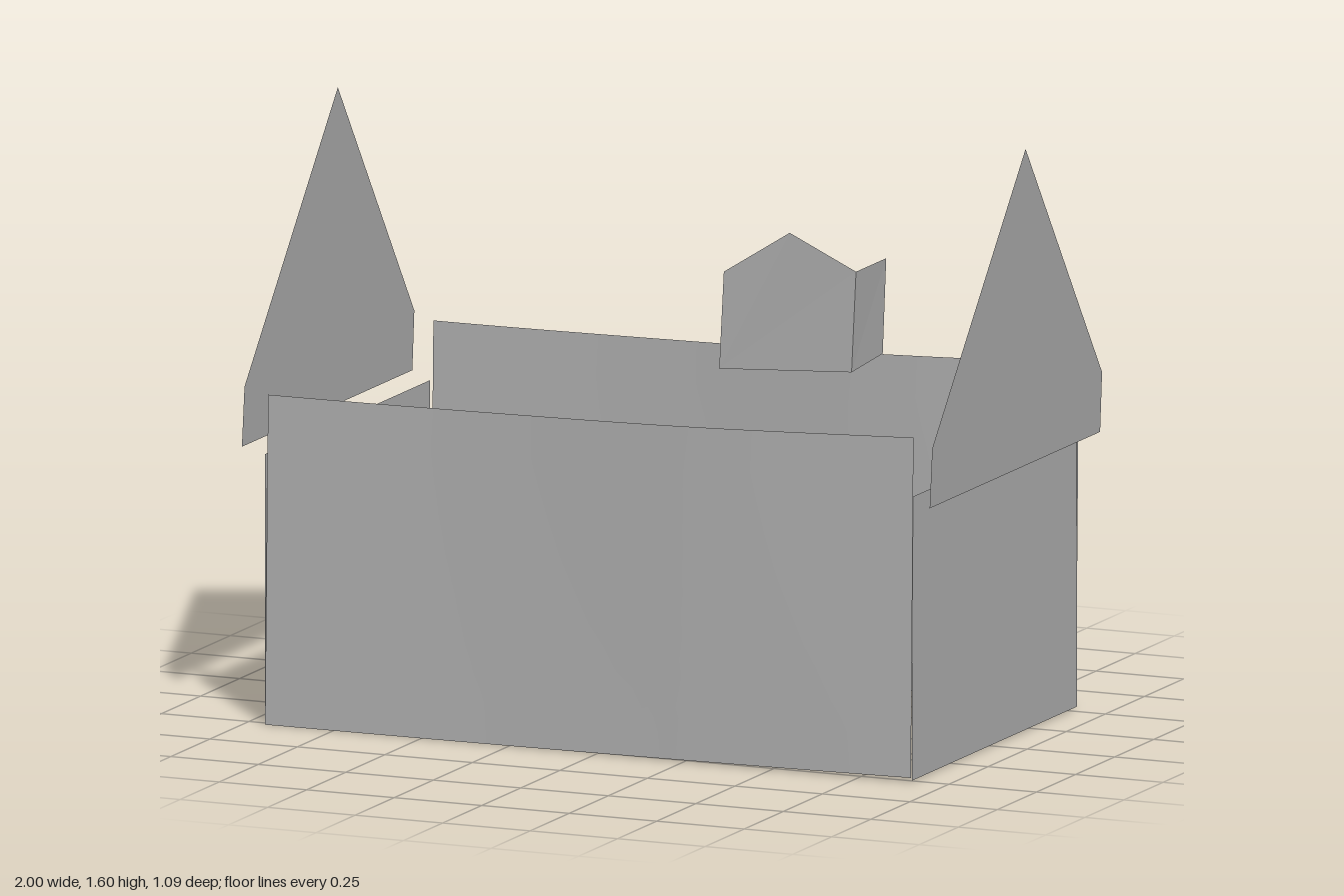
import * as THREE from 'three';

const grey = new THREE.MeshStandardMaterial({ color: 0xb4b4b4, side: THREE.DoubleSide });
grey.name = 'plain grey';

// Flat panel from an ordered outline of [x, y, z] corners
function panel(name, corners) {
  const geo = new THREE.BufferGeometry();
  geo.setAttribute('position', new THREE.Float32BufferAttribute(corners.flat(), 3));
  const index = [];
  for (let i = 1; i < corners.length - 1; i++) index.push(0, i, i + 1);
  geo.setIndex(index);
  const flat = geo.toNonIndexed();
  flat.computeVertexNormals();
  const mesh = new THREE.Mesh(flat, grey);
  mesh.name = name;
  return mesh;
}

// Long wall: slightly skewed, top edge rising to +x, bulging gently toward +z
function longWall(name, z0, outward) {
  const geo = new THREE.PlaneGeometry(1, 1, 24, 8);
  const p = geo.attributes.position;
  for (let i = 0; i < p.count; i++) {
    const u = p.getX(i) + 0.5, v = p.getY(i) + 0.5;
    const bottom = 0.012 * u * u;
    const top = 0.88 + 0.04 * Math.pow(u, 1.8);
    const bulge = 0.003 + 0.017 * Math.exp(-Math.pow((u - 0.65) / 0.24, 2));
    p.setXYZ(i, -0.945 + 1.845 * u + 0.01 * v, bottom + (top - bottom) * v, z0 + bulge * v);
  }
  // The back wall faces away from the front
  if (outward < 0) {
    const a = geo.index.array;
    for (let i = 0; i < a.length; i += 3) [a[i], a[i + 1]] = [a[i + 1], a[i]];
  }
  geo.computeVertexNormals();
  const mesh = new THREE.Mesh(geo, grey);
  mesh.name = name;
  return mesh;
}

// End wall; side is +1 (model's left) or -1
function endWall(name, x, top, side) {
  const c = [[x, 0.005, 0.52], [x, 0.005, -0.535], [x, top, -0.535], [x, top, 0.522]];
  return panel(name, side > 0 ? c : c.reverse());
}

// Gable: leans toward +x as it rises
function gable(name, x, side) {
  const outline = [[0.01, 1.6], [0.543, 0.9], [0.545, 0.74], [-0.545, 0.74], [-0.543, 0.9]];
  const c = outline.map(([z, y]) => [x + 0.035 * (y - 0.74) / 0.86, y, z]);
  return panel(name, side > 0 ? c : c.reverse());
}

export function createModel() {
  const house = new THREE.Group();
  house.name = 'house';

  house.add(
    longWall('frontWall', 0.52, 1),
    longWall('backWall', -0.537, -1),
    endWall('leftWall', 0.903, 0.76, 1),
    endWall('rightWall', -0.945, 0.72, -1),
    gable('leftGable', 0.965, 1),
    gable('rightGable', -1.0, -1)
  );

  // Dormer: pentagonal front and two cheeks, open behind
  const dormer = new THREE.Group();
  dormer.name = 'dormer';
  const frontLow = [[0.29, 1.025, 0.38], [0.665, 1.045, 0.373]];
  const frontHigh = [[0.68, 1.315, 0.378], [0.495, 1.405, 0.388], [0.305, 1.285, 0.384]];
  dormer.add(
    panel('dormerFront', [...frontLow, ...frontHigh]),
    panel('dormerLeftCheek', [frontLow[1], [0.67, 1.06, 0.185], [0.68, 1.315, 0.185], frontHigh[0]]),
    panel('dormerRightCheek', [[0.292, 1.035, 0.192], frontLow[0], frontHigh[2], [0.3, 1.29, 0.192]])
  );
  house.add(dormer);
  return house;
}
